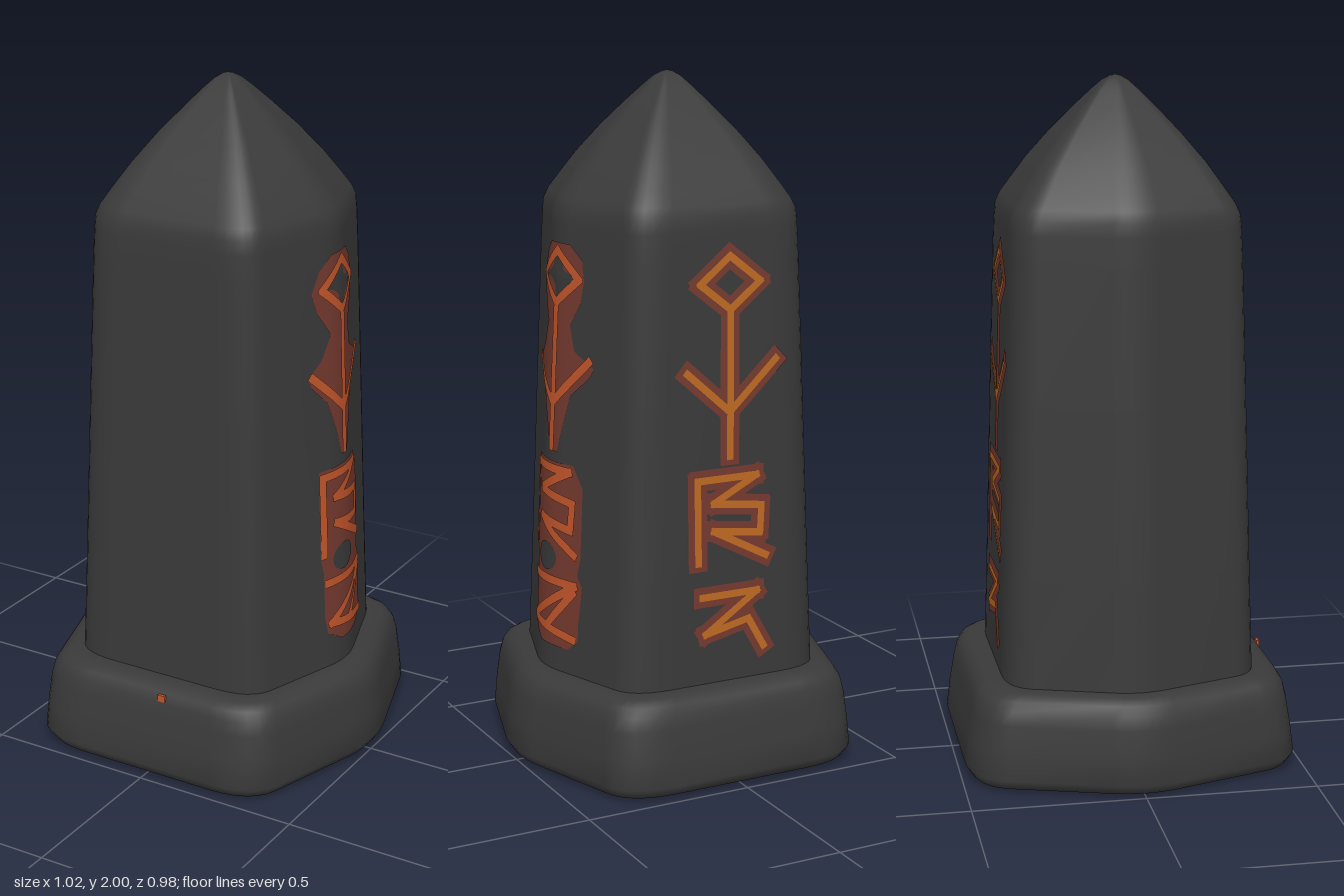
import * as THREE from 'three';
import { mergeGeometries, mergeVertices } from 'three/addons/utils/BufferGeometryUtils.js';

const mat = (name, color, side = THREE.FrontSide) => {
  const m = new THREE.MeshStandardMaterial({ color, side });
  m.name = name;
  return m;
};

// Rounded hexagon with corners on the x axis: half width X, half depth Z
const CORNERS = [[1, 0], [0.71, -1], [-0.71, -1], [-1, 0], [-0.71, 1], [0.71, 1]];
function section(X, Z) {
  const pts = [];
  const c = CORNERS.map(([x, z]) => new THREE.Vector2(x * X * 1.02, z * Z));
  c.forEach((p, i) => {
    const a = p.clone().lerp(c[(i + 5) % 6], 0.2);
    const b = p.clone().lerp(c[(i + 1) % 6], 0.2);
    pts.push(...new THREE.QuadraticBezierCurve(a, p, b).getPoints(6));
  });
  return pts;
}

// Skin over rings of [y, X, Z]
function loft(rings) {
  const pos = [], idx = [];
  const n = section(1, 1).length;
  rings.forEach(([y, X, Z], r) => {
    section(X, Z).forEach((p, i) => {
      pos.push(p.x, y, p.y);
      if (r === rings.length - 1) return;
      const a = r * n + i, b = r * n + (i + 1) % n;
      idx.push(a, b, b + n, a, b + n, a + n);
    });
  });
  let g = new THREE.BufferGeometry();
  g.setAttribute('position', new THREE.Float32BufferAttribute(pos, 3));
  g.setIndex(idx);
  g = mergeVertices(g);
  g.computeVertexNormals();
  return g;
}

const SHAFT = [
  [0.26, 0.412, 0.372], [0.6, 0.396, 0.362], [1.1, 0.374, 0.348], [1.5, 0.356, 0.336],
  [1.58, 0.352, 0.332], [1.62, 0.349, 0.328], [1.65, 0.336, 0.315], [1.69, 0.308, 0.288],
  [1.76, 0.255, 0.24], [1.84, 0.186, 0.174], [1.91, 0.116, 0.11], [1.96, 0.064, 0.061],
  [1.985, 0.036, 0.034], [1.997, 0.014, 0.013], [2, 0, 0],
];
const BASE = [
  [0, 0.39, 0.365], [0, 0.462, 0.44], [0.01, 0.492, 0.47], [0.04, 0.513, 0.488],
  [0.12, 0.508, 0.478], [0.2, 0.499, 0.465], [0.24, 0.489, 0.456], [0.265, 0.472, 0.441],
  [0.28, 0.447, 0.418], [0.284, 0.42, 0.39], [0.28, 0.38, 0.34],
];
const RECESS = [
  [0.09, 0, 0], [0.09, 0.34, 0.31], [0.05, 0.35, 0.325], [0.05, 0.37, 0.345],
  [0.02, 0.375, 0.35], [0.02, 0.385, 0.36], [0, 0.392, 0.367],
];

// Point on a shaft face: u runs to the viewer's right, v is height
function onShaft(face, u, v, lift) {
  const k = Math.max(1, SHAFT.findIndex((r) => r[0] >= v));
  const [a, b] = [SHAFT[k - 1], SHAFT[k]];
  const t = (v - a[0]) / (b[0] - a[0]);
  const X = THREE.MathUtils.lerp(a[1], b[1], t), Z = THREE.MathUtils.lerp(a[2], b[2], t);
  if (face === 'back') return [-u, v, -Z - lift];
  const pts = section(X, Z);
  let x = X;
  pts.forEach((p, i) => {
    const q = pts[(i + 1) % pts.length];
    if (p.x > X * 0.5 && q.x > X * 0.5 && p.y >= -u && q.y < -u) {
      x = THREE.MathUtils.lerp(p.x, q.x, (p.y + u) / (p.y - q.y));
    }
  });
  return [x + lift, v, -u];
}

// Thin patch that follows the shaft; fn maps (s, t) to [u, v]
function patch(face, lift, ns, nt, fn) {
  const g = new THREE.PlaneGeometry(1, 1, ns, nt);
  const p = g.attributes.position;
  for (let i = 0; i < p.count; i++) {
    const [u, v] = fn(p.getX(i) + 0.5, p.getY(i) + 0.5);
    p.setXYZ(i, ...onShaft(face, u, v, lift));
  }
  g.computeVertexNormals();
  return g;
}

function strokes(face, lines, width, lift) {
  const parts = [];
  for (const line of lines) {
    for (let i = 0; i + 1 < line.length; i++) {
      const [a, b] = [line[i], line[i + 1]];
      const dx = b[0] - a[0], dy = b[1] - a[1], len = Math.hypot(dx, dy);
      const e = width * 0.4 / len;
      parts.push(patch(face, lift, 10, 4, (s, t) => {
        const f = -e + s * (1 + 2 * e), w = (t - 0.5) * width / len;
        return [a[0] + dx * f - dy * w, a[1] + dy * f + dx * w];
      }));
    }
  }
  return mergeGeometries(parts);
}

// Glow filled between rows of [v, uMin, uMax]
function glowRows(face, rows, lift) {
  return mergeGeometries(rows.slice(1).map((lo, i) => patch(face, lift, 12, 3, (s, t) => {
    const [v, l, r] = lo.map((x, k) => THREE.MathUtils.lerp(x, rows[i][k], t));
    return [l + (r - l) * s, v];
  })));
}

const UPPER_RUNE = [
  [[0.02, 1.51], [-0.075, 1.435], [0.02, 1.36], [0.115, 1.435], [0.02, 1.51]],
  [[0.02, 1.36], [0.015, 0.94]],
  [[-0.12, 1.19], [0.015, 1.07], [0.165, 1.21]],
];
const LOWER_RUNE = [
  [[-0.09, 0.64], [-0.09, 0.88], [0.1, 0.88], [-0.04, 0.81], [0.115, 0.79], [0.11, 0.71], [-0.04, 0.73], [0.13, 0.64]],
];
const SIDE_FOOT = [[[-0.08, 0.55], [0.135, 0.55], [-0.07, 0.42], [0.135, 0.39]], [[0.13, 0.53], [0.03, 0.42]]];
const BACK_FOOT = [[[-0.08, 0.54], [0.1, 0.54], [-0.07, 0.43], [0.07, 0.46], [0.12, 0.37]]];
const UPPER_GLOW = [
  [1.53, -0.03, 0.07], [1.49, -0.08, 0.12], [1.43, -0.11, 0.13], [1.37, -0.09, 0.12], [1.3, -0.04, 0.08],
  [1.23, -0.08, 0.1], [1.19, -0.13, 0.18], [1.16, -0.12, 0.16], [1.1, -0.06, 0.09], [1, -0.02, 0.06], [0.93, 0, 0.04],
];
const LOWER_GLOW = [
  [0.9, -0.1, 0.11], [0.84, -0.1, 0.15], [0.63, -0.1, 0.15], [0.58, -0.09, 0.14],
  [0.55, -0.09, 0.16], [0.44, -0.09, 0.15], [0.39, -0.08, 0.15], [0.355, -0.02, 0.11],
];

export function createModel() {
  const group = new THREE.Group();
  const stone = mat('dark stone', 0x3a3a3a);
  const ember = mat('ember orange', 0xc4562b, THREE.DoubleSide);
  const amber = mat('amber', 0xc06a22, THREE.DoubleSide);
  const glow = mat('ember glow', 0x753a2f, THREE.DoubleSide);
  const add = (name, geometry, material) => {
    const m = new THREE.Mesh(geometry, material);
    m.name = name;
    group.add(m);
    return m;
  };

  // Stone body
  add('shaft', loft(SHAFT), stone);
  add('base', loft(BASE), stone);
  const recess = loft(RECESS).toNonIndexed();
  recess.computeVertexNormals();
  add('baseRecess', recess, stone);

  // Side runes with wide glow, leaving two stone spots bare
  add('sideUpperGlow', glowRows('side', UPPER_GLOW, 0.003), glow);
  add('sideLowerGlow', glowRows('side', LOWER_GLOW, 0.003), glow);
  add('sideRunes', strokes('side', [...UPPER_RUNE, ...LOWER_RUNE, ...SIDE_FOOT], 0.026, 0.007), ember);
  const spot = (u, v, ru, rv, sides) => patch('side', 0.005, sides, 2, (s, t) => {
    const a = s * Math.PI * 2;
    return [u + Math.cos(a) * ru * (1 - t), v + Math.sin(a) * rv * (1 - t)];
  });
  add('runeEye', spot(0.02, 1.435, 0.085, 0.068, 4), stone);
  add('runeGap', spot(0, 0.615, 0.055, 0.042, 16), stone);

  // Back runes with a narrow glow
  const back = [...UPPER_RUNE, ...LOWER_RUNE, ...BACK_FOOT];
  add('backGlow', strokes('back', back, 0.06, 0.003), glow);
  add('backRunes', strokes('back', back, 0.021, 0.006), amber);

  // Single spark on the front of the base
  add('spark', new THREE.BoxGeometry(0.024, 0.02, 0.009), ember).position.set(0.047, 0.253, 0.452);
  return group;
}
